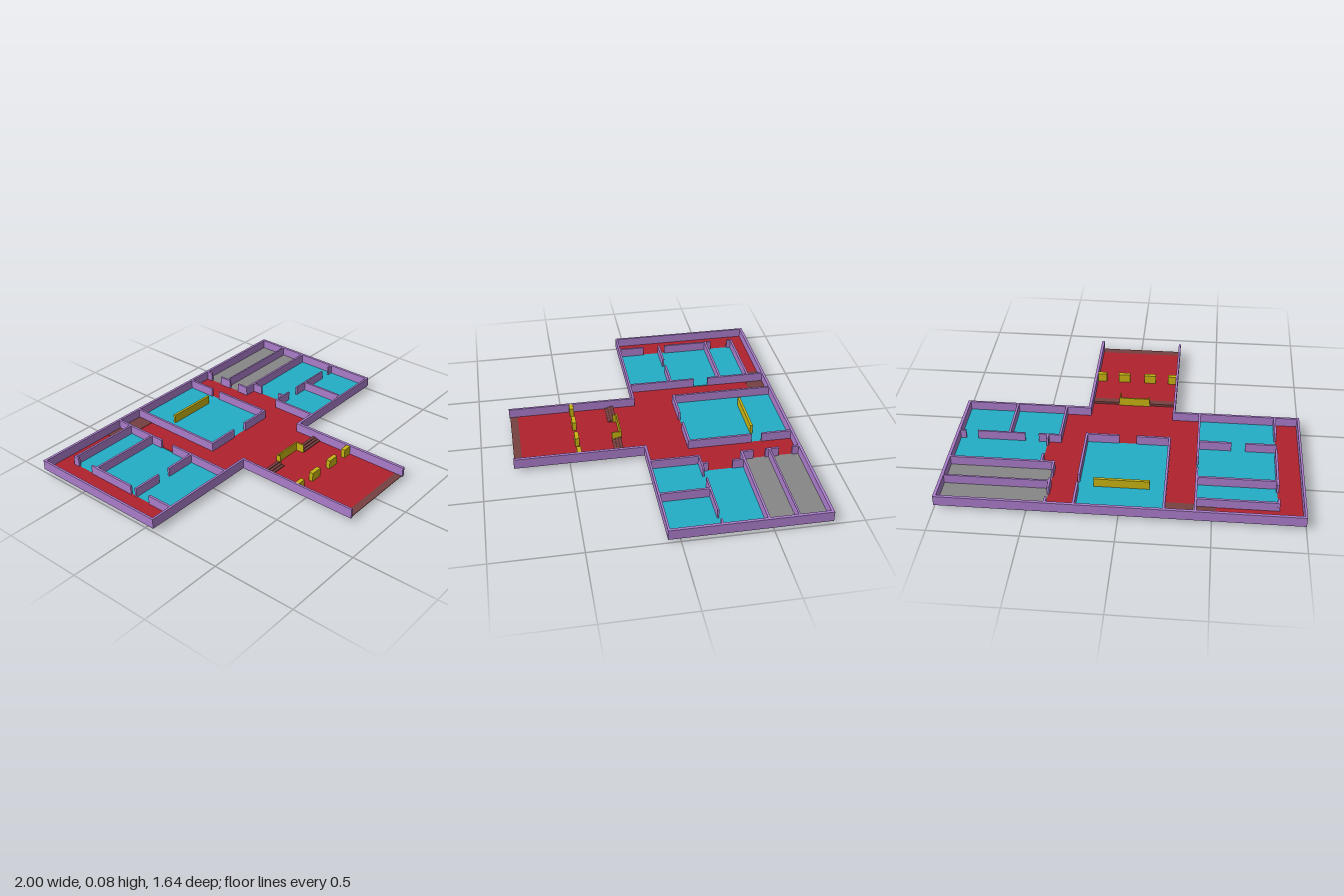
import * as THREE from 'three';

const mat = (name, color) => {
  const m = new THREE.MeshStandardMaterial({ color });
  m.name = name;
  return m;
};

export function createModel() {
  const model = new THREE.Group();
  model.name = 'floorPlan';
  const purple = mat('wallPurple', 0xaa7dcb);
  const red = mat('corridorRed', 0xb0212d);
  const cyan = mat('roomCyan', 0x22aec6);
  const grey = mat('storeGrey', 0x878787);
  const brown = mat('stairBrown', 0x75403f);
  const yellow = mat('furnitureYellow', 0xc8b414);

  const BASE = 0.022, FLOOR = 0.027, TOP = 0.082;

  // Box given by its x, z and y limits
  function box(parent, name, material, [x0, x1, z0, z1], y0, y1) {
    const mesh = new THREE.Mesh(new THREE.BoxGeometry(x1 - x0, y1 - y0, z1 - z0), material);
    mesh.position.set((x0 + x1) / 2, (y0 + y1) / 2, (z0 + z1) / 2);
    mesh.name = name;
    parent.add(mesh);
  }
  function boxes(name, material, rects, y0, y1) {
    const group = new THREE.Group();
    group.name = name;
    rects.forEach((r, i) => box(group, `${name}${i + 1}`, material, r, y0, y1));
    model.add(group);
  }

  // Floors, each a thin slab [x0, x1, z0, z1]
  boxes('corridorFloor', red, [
    [-0.99, -0.855, -0.815, 0.055],
    [-0.855, -0.52, -0.815, -0.715],
    [-0.405, -0.245, -0.7, 0.055],
    [-0.245, 0.24, -0.2, 0.055],
    [0.24, 0.395, -0.815, 0.055],
    [0.395, 0.468, -0.47, -0.22],
    [-0.255, 0.25, 0.055, 0.183],
    [-0.1, 0.083, 0.183, 0.235],
    [-0.255, 0.25, 0.235, 0.77],
  ], 0.024, FLOOR);
  boxes('roomFloor', cyan, [
    [-0.855, -0.41, -0.715, 0.055],
    [-0.24, 0.24, -0.815, -0.2],
    [0.468, 0.99, -0.47, -0.22],
    [0.395, 0.99, -0.22, 0.062],
  ], 0.024, FLOOR);
  boxes('storeFloor', grey, [[0.395, 0.99, -0.815, -0.47]], 0.024, FLOOR);

  // Entrance ramp and low stairs
  boxes('entranceRamp', brown, [[-0.25, 0.25, 0.77, 0.815]], 0.024, FLOOR);
  for (let i = 0; i < 3; i++) {
    const y = FLOOR + 0.005 * (3 - i);
    const z = 0.183 + 0.0173 * i;
    boxes('hallStep', brown, [[-0.25, -0.1, z, z + 0.0173], [0.083, 0.247, z, z + 0.0173]], 0.024, y);
  }
  boxes('backStairs', brown, [
    [-0.52, -0.51, -0.807, -0.715], [-0.51, -0.455, -0.807, -0.715], [-0.455, -0.41, -0.807, -0.715],
    [-0.4, -0.248, -0.807, -0.77], [-0.4, -0.248, -0.77, -0.7],
  ], 0.024, FLOOR + 0.002);

  // Outer walls
  boxes('outerWall', purple, [
    [-1, 1, -0.823, -0.807],
    [-1, -0.987, -0.823, 0.06],
    [0.983, 1, -0.823, 0.07],
    [-1, -0.247, 0.047, 0.06],
    [0.39, 1, 0.058, 0.07],
    [0.247, 0.39, 0.055, 0.07],
    [-0.262, -0.249, 0.047, 0.82],
    [0.245, 0.262, 0.055, 0.82],
  ], BASE, TOP);

  // Inner walls along x or z, broken by door gaps given as [from, to]
  function wall(name, axis, at, from, to, gaps = [], t = 0.013) {
    const rects = [];
    let start = from;
    for (const [g0, g1] of [...gaps, [to, to]]) {
      rects.push(axis === 'x' ? [start, g0, at - t / 2, at + t / 2] : [at - t / 2, at + t / 2, start, g0]);
      start = g1;
    }
    boxes(name, purple, rects, BASE, TOP);
  }
  // Right-hand rooms
  wall('rightRoomOuterWall', 'z', -0.855, -0.72, 0.05, [[-0.68, -0.57], [-0.25, -0.11]]);
  wall('rightRoomInnerWall', 'z', -0.41, -0.81, 0.05, [[-0.45, -0.36]]);
  wall('rightRoomBackWall', 'x', -0.712, -0.86, -0.405);
  wall('rightRoomDivider', 'x', -0.532, -0.86, -0.405);
  wall('rightRoomDoorWall', 'x', -0.213, -0.86, -0.405, [[-0.68, -0.6]]);
  // Central room
  wall('centreRightWall', 'z', -0.243, -0.81, -0.19);
  wall('centreLeftWall', 'z', 0.24, -0.81, -0.19, [[-0.63, -0.57]]);
  wall('centreFrontWall', 'x', -0.197, -0.249, 0.246, [[-0.05, 0.05]]);
  // Left-hand rooms and stores
  wall('storeWall', 'z', 0.394, -0.81, -0.465, [[-0.77, -0.69], [-0.61, -0.54]]);
  wall('storeDivider', 'x', -0.635, 0.39, 0.985, [], 0.01);
  wall('storeFrontWall', 'x', -0.47, 0.39, 0.985);
  wall('leftRoomRecessWall', 'z', 0.465, -0.47, -0.22, [[-0.4, -0.26]]);
  wall('leftRoomDoorWall', 'x', -0.222, 0.39, 0.985, [[0.52, 0.6], [0.88, 0.95]], 0.01);
  wall('leftRoomInnerWall', 'z', 0.394, -0.225, 0.065);
  wall('leftRoomDivider', 'z', 0.692, -0.222, 0.065);

  // Furniture: pillars, long bench and reception desk
  boxes('pillar', yellow, [-0.225, -0.085, 0.078, 0.217].map((x, i) => {
    const h = i % 3 === 0 ? 0.027 : 0.036;
    return [x - h, x + h, 0.43, 0.455];
  }), FLOOR, TOP - 0.001);
  boxes('bench', yellow, [[-0.155, 0.155, -0.6, -0.585]], 0.024, 0.08);
  boxes('receptionDesk', yellow, [
    [-0.1, 0.085, 0.177, 0.185],
    [0.079, 0.085, 0.185, 0.235],
    [-0.1, -0.094, 0.185, 0.205],
  ], 0, 0.08);

  return model;
}
